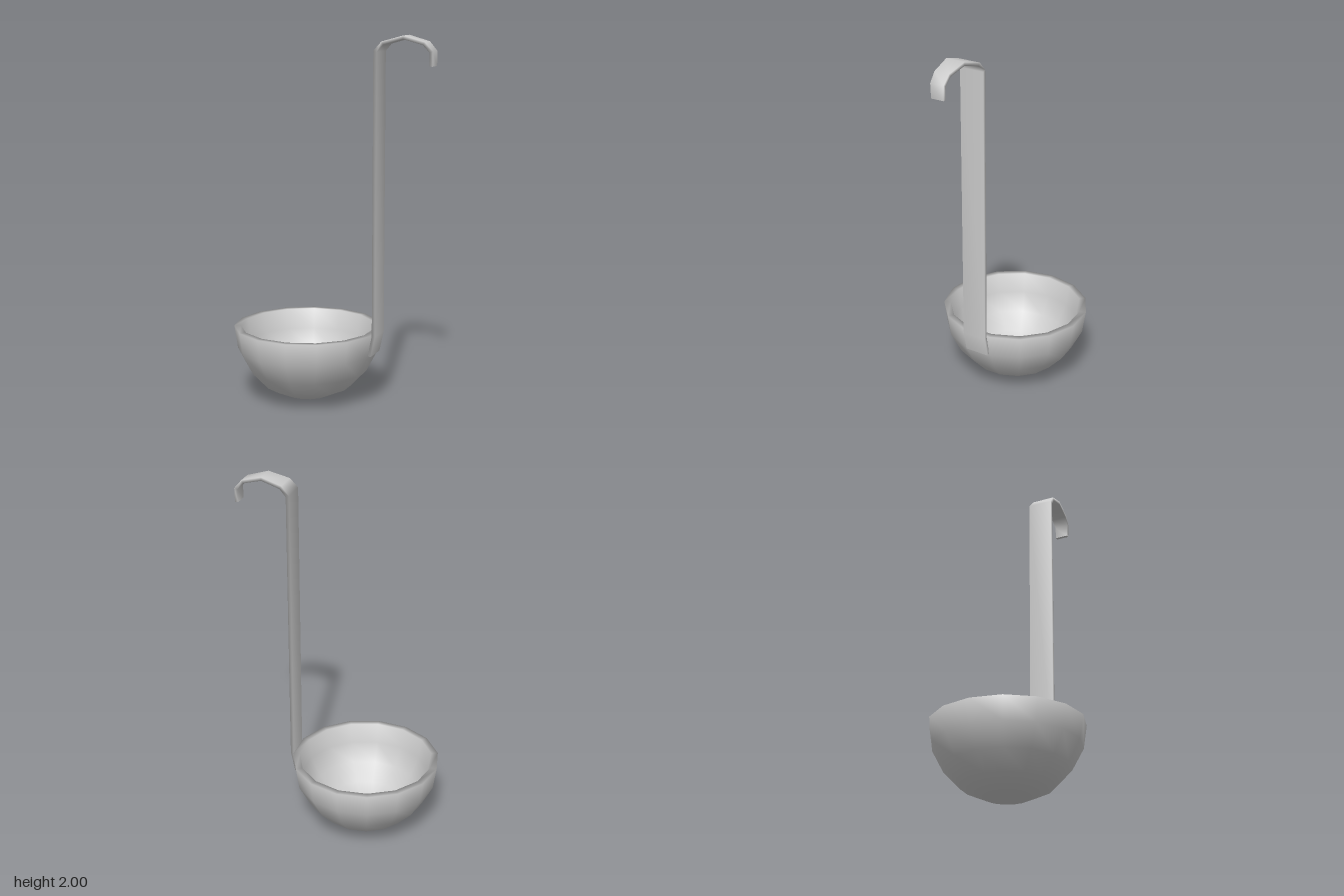
import * as THREE from 'three';

const material = new THREE.MeshStandardMaterial({ color: 0xcccccc });

// Low-sided hemispherical bowl with a wall thickness and a narrow rim
function createBowl() {
  const outer = [[0, 0.003], [0.122, 0.025], [0.24, 0.08], [0.327, 0.172], [0.387, 0.287], [0.405, 0.412]];
  const inner = [[0.368, 0.412], [0.352, 0.3], [0.298, 0.195], [0.22, 0.11], [0.112, 0.057], [0, 0.037]];
  const profile = [...outer, ...inner].map(([r, y]) => new THREE.Vector2(r, y));
  const bowl = new THREE.Mesh(new THREE.LatheGeometry(profile, 15, -Math.PI / 2), material);
  bowl.name = 'bowl';
  bowl.position.x = -0.155;
  return bowl;
}

// Flat strip swept along a path of [x, y, half width], mitred at every bend
function createStrip(path, thickness) {
  const points = path.map(([x, y]) => new THREE.Vector2(x, y));
  const positions = [];
  const index = [];
  const last = path.length - 1;

  points.forEach((p, i) => {
    const before = p.clone().sub(points[Math.max(i - 1, 0)]).normalize();
    const after = points[Math.min(i + 1, last)].clone().sub(p).normalize();
    const tangent = before.clone().add(after).normalize();
    const cosHalf = tangent.dot(i < last ? after : before);
    const h = thickness / 2 / cosHalf;
    const nx = -tangent.y * h;
    const ny = tangent.x * h;
    const w = path[i][2];
    for (const [side, z] of [[1, w], [1, -w], [-1, -w], [-1, w]]) {
      positions.push(p.x + side * nx, p.y + side * ny, z);
    }
  });

  for (let i = 0; i < last; i++) {
    for (let j = 0; j < 4; j++) {
      const a = i * 4 + j;
      const b = i * 4 + (j + 1) % 4;
      index.push(a, b + 4, b, a, a + 4, b + 4);
    }
  }

  // End caps get their own corners so that they stay crisp
  for (const [ring, corners] of [[0, [0, 1, 2, 0, 2, 3]], [last, [0, 2, 1, 0, 3, 2]]]) {
    const start = positions.length / 3;
    positions.push(...positions.slice(ring * 12, ring * 12 + 12));
    index.push(...corners.map((c) => start + c));
  }

  const geometry = new THREE.BufferGeometry();
  geometry.setAttribute('position', new THREE.Float32BufferAttribute(positions, 3));
  geometry.setIndex(index);
  geometry.computeVertexNormals();
  return geometry;
}

// Long handle, bent against the bowl below and tapering into a hook above
function createHandle() {
  const path = [
    [0.23, 0.293, 0.069],
    [0.254, 0.405, 0.069],
    [0.254, 1.918, 0.069],
    [0.292, 1.961, 0.065],
    [0.4, 1.991, 0.054],
    [0.508, 1.961, 0.043],
    [0.546, 1.918, 0.039],
    [0.546, 1.845, 0.036],
  ];
  const handle = new THREE.Mesh(createStrip(path, 0.018), material);
  handle.name = 'hookedHandle';
  return handle;
}

export function createModel() {
  const ladle = new THREE.Group();
  ladle.name = 'ladle';
  ladle.add(createBowl(), createHandle());
  return ladle;
}
